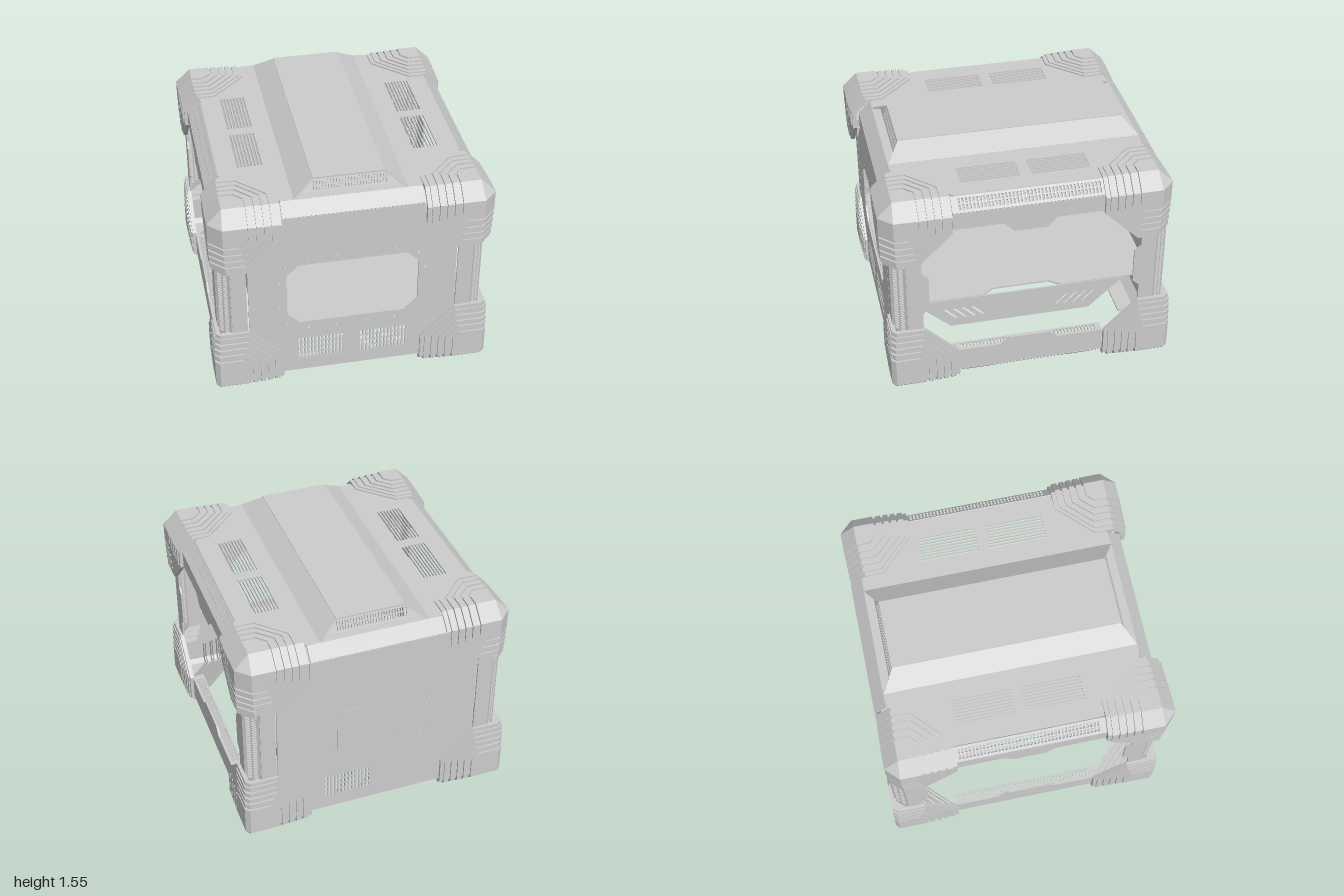
import * as THREE from 'three';

const material = new THREE.MeshStandardMaterial({ color: 0xcccccc, flatShading: true, side: THREE.DoubleSide });
const V = (x, y, z) => new THREE.Vector3(x, y, z);
const path = (pts) => pts.map(([x, y]) => new THREE.Vector2(x, y));

// Flat sheet: outline in (u, v), laid at origin along the two axes
function plate(name, outline, holes, origin, u, v, thick = 0.012) {
  const shape = new THREE.Shape(path(outline));
  shape.holes = holes.map((h) => new THREE.Path(path(h)));
  const geo = new THREE.ExtrudeGeometry(shape, { depth: thick, bevelEnabled: false });
  geo.translate(0, 0, -thick / 2);
  const a = u.clone().normalize(), b = v.clone().normalize();
  geo.applyMatrix4(new THREE.Matrix4().makeBasis(a, b, a.clone().cross(b)).setPosition(origin));
  const mesh = new THREE.Mesh(geo, material);
  mesh.name = name;
  return mesh;
}

const rect = (x0, y0, x1, y1) => [[x0, y0], [x1, y0], [x1, y1], [x0, y1]];

// Rectangle with clipped corners
const octagon = (x0, y0, x1, y1, c) => [[x0 + c, y0], [x1 - c, y0], [x1, y0 + c], [x1, y1 - c],
  [x1 - c, y1], [x0 + c, y1], [x0, y1 - c], [x0, y0 + c]];

// Right half of an outline, listed bottom to top, completed by its mirror image
const mirrored = (half) => [...half, ...half.map(([x, y]) => [-x, y]).reverse()];

function slotGrid(x0, y0, x1, y1, cols, rows, fill = 0.6) {
  const out = [], w = (x1 - x0) / cols, h = (y1 - y0) / rows;
  for (let i = 0; i < cols; i++) for (let j = 0; j < rows; j++) {
    const cx = x0 + (i + 0.5) * w, cy = y0 + (j + 0.5) * h;
    const a = w * fill / 2, b = h / 2 - Math.min(w, h) * 0.15;
    out.push(octagon(cx - a, cy - b, cx + a, cy + b, Math.min(a, b) * 0.4));
  }
  return out;
}

const screwHole = ([x, y]) => Array.from({ length: 8 }, (_, i) =>
  [x + 0.01 * Math.cos(i * Math.PI / 4), y + 0.01 * Math.sin(i * Math.PI / 4)]);

// One band of a corner guard, wrapping three faces and their chamfers between
// extents s0 and s (s0 = 0 fills the middle). Coordinates run inward from the case corner.
function guardBand([s0, t0], [s, t], d, cv, ch, top, toWorld) {
  const pos = [], rim = 0.03, ref = V(0.2, 0.2, 0.2);
  const face = (pts, inward = false) => {
    for (let i = 1; i < pts.length - 1; i++) {
      const tri = [pts[0], pts[i], pts[i + 1]];
      const n = tri[1].clone().sub(tri[0]).cross(tri[2].clone().sub(tri[0]));
      const out = n.dot(tri[0].clone().add(tri[1]).add(tri[2]).divideScalar(3).sub(ref)) > 0;
      if (out === inward) tri.reverse();
      const w = tri.map(toWorld.map);
      if (toWorld.flip) w.reverse();
      w.forEach((p) => pos.push(p.x, p.y, p.z));
    }
  };
  const v = d + cv, h = d + ch;
  const lay = [
    (q, e) => V(q[0], q[1], d + e),
    (q, e) => V(d + e, q[0], q[1]),
    (q, e) => V(q[1], d + e, q[0]),
  ];
  const starts = [[v, h], [h, v], [h, h]];
  // The underside of a lower guard is cut back to a triangle
  const edge = (r, c, e) => starts.map(([a, b], k) => {
    const cut = k === 2 && !top ? r - 0.075 : c;
    return [[r, b], [r, r - cut], [r - cut, r], [a, r]].map((q) => lay[k](q, e));
  });
  const wall = (high, low, inward) => high.forEach((p, k) => {
    const m = (k + 1) % 3;
    for (let i = 0; i < 3; i++) face([p[i], p[i + 1], low[k][i + 1], low[k][i]], inward);
    face([p[3], high[m][0], low[m][0], low[k][3]], inward);
  });
  const outer = edge(s, t, 0);
  wall(outer, edge(s, t, rim), false);
  if (s0) {
    const inner = edge(s0, t0, 0);
    wall(inner, edge(s0, t0, rim), true);
    outer.forEach((p, k) => {
      const m = (k + 1) % 3;
      for (let i = 0; i < 3; i++) face([inner[k][i], p[i], p[i + 1], inner[k][i + 1]]);
      face([inner[k][3], p[3], outer[m][0], inner[m][0]]);
    });
  } else {
    const tip = starts.map((q, k) => lay[k](q, 0));
    face(tip);
    outer.forEach((p, k) => {
      const m = (k + 1) % 3;
      face([tip[k], ...p]);
      face([tip[k], p[3], outer[m][0], tip[m]]);
    });
  }
  const geo = new THREE.BufferGeometry();
  geo.setAttribute('position', new THREE.Float32BufferAttribute(pos, 3));
  geo.computeVertexNormals();
  return new THREE.Mesh(geo, material);
}

function cornerGuard(sx, top, sz) {
  const g = new THREE.Group();
  g.name = (top ? 'upper' : 'lower') + 'CornerGuard';
  const dz = top ? 0.03 : 0;
  const toWorld = {
    map: (p) => V(sx * (0.955 - p.x), top ? 1.49 - p.y : p.y + 0.005, sz * (0.985 - p.z) + dz),
    flip: sx * sz * (top ? -1 : 1) < 0,
  };
  // Extent, corner cut and depth of alternating ridges and grooves
  const bands = [[0.24, 0.05, 0], [0.255, 0.06, 0.012], [0.295, 0.09, 0.002], [0.31, 0.1, 0.014],
    [0.345, 0.125, 0.003], [0.36, 0.135, 0.015], [0.395, 0.165, 0.005], [0.41, 0.18, 0.017],
    [0.445, 0.21, 0.007], [0.475, 0.235, 0.016]];
  bands.forEach((b, i) => g.add(guardBand(i ? bands[i - 1] : [0, 0], b, b[2],
    top ? 0.09 : 0.03, top ? 0.1 : 0.03, top, toWorld)));
  return g;
}

export function createModel() {
  const model = new THREE.Group();
  const body = new THREE.Group();
  body.name = 'case';
  body.position.z = -0.015;
  model.add(body);
  const add = (...args) => body.add(plate(...args));
  const X = V(1, 0, 0), Y = V(0, 1, 0), Z = V(0, 0, 1), ZF = 0.945, XS = 0.91;

  for (const sx of [1, -1]) for (const sz of [1, -1]) for (const top of [true, false]) body.add(cornerGuard(sx, top, sz));

  // Front and back panels
  const panel = mirrored([[0.48, 0.07], [0.48, 0.24], [0.71, 0.48], [0.71, 1.02], [0.48, 1.25], [0.48, 1.38]]);
  const ring = [];
  for (const s of [1, -1]) ring.push(...[[0.1, 1.04], [0.3, 1.04], [0.45, 0.98], [0.5, 0.85], [0.5, 0.65],
    [0.45, 0.5], [0.3, 0.44], [0.11, 0.44]].map(([x, y]) => [s * x, y]));
  const mounts = [[-0.33, 0.91], [-0.14, 0.91], [-0.38, 0.86], [-0.37, 0.63], [-0.32, 0.57], [-0.14, 0.57],
    [0.32, 0.57], [0.37, 0.63]];
  add('frontPanel', panel, [octagon(-0.45, 0.5, 0.45, 0.99, 0.08), ...ring.map(screwHole),
    ...slotGrid(-0.38, 0.17, -0.06, 0.355, 13, 4), ...slotGrid(0.05, 0.17, 0.38, 0.355, 13, 4)], V(0, 0, ZF), X, Y);
  add('backPanel', panel, [...mounts.map(screwHole), ...slotGrid(0.05, 0.17, 0.38, 0.355, 13, 4)], V(0, 0, -ZF), X, Y);
  add('backCoverPlate', octagon(0.07, 0.55, 0.29, 0.92, 0.04), [], V(0, 0, -ZF - 0.004), X, Y);

  for (const sz of [1, -1]) {
    // Sloped edges above and below the panels, and the flat plank underneath
    add('upperBevel', rect(-0.47, 0, 0.47, 0.115), [], V(0, 1.38, sz * ZF), X, V(0, 0.08, -sz * 0.08));
    add('lowerBevel', [[-0.48, 0], [-0.41, -0.09], [0.41, -0.09], [0.48, 0]], [],
      V(0, 0.07, sz * ZF), X, V(0, 0.06, sz * 0.07));
    add('bottomPlank', rect(-0.48, 0.76, 0.48, 0.88), [], V(0, 0.017, 0), X, V(0, 0, sz));
    // Louvred end of the hood and the ledge in front of it
    add('hoodVent', [[-0.37, 0], [0.37, 0], [0.24, 0.097], [-0.24, 0.097]],
      slotGrid(-0.25, 0.015, 0.25, 0.085, 26, 2), V(0, 1.46, sz * 0.805), X, V(0, 0.09, -sz * 0.035));
    add('hoodLedge', rect(-0.375, 0.79, 0.375, 0.87), [], V(0, 1.458, 0), X, V(0, 0, sz));

    // Corner posts
    for (const sx of [1, -1]) {
      add('postFrontStrip', rect(0.72, 0.4, 0.825, 1.1), [], V(0, 0, sz * ZF), V(sx, 0, 0), Y);
      add('postVent', rect(0, 0.4, 0.125, 1.1), slotGrid(0.015, 0.46, 0.11, 1.04, 2, 28, 0.75),
        V(sx * 0.825, 0, sz * ZF), V(sx * 0.085, 0, -sz * 0.09), Y);
      add('postSideStrip', [[0.855, 0.4], [0.855, 1.1], [0.75, 1.1], [0.75, 0.93], [0.705, 0.89],
        [0.705, 0.64], [0.75, 0.6], [0.75, 0.4]], [], V(sx * XS, 0, 0), V(0, 0, sz), Y);
    }
  }

  // Side rails
  for (const sx of [1, -1]) {
    const at = (x, y) => V(sx * x, y, 0.015);
    add('upperSideRail', mirrored([[0.11, 1.19], [0.18, 1.26], [0.52, 1.26], [0.52, 1.38]]), [], at(XS, 0), Z, Y);
    add('upperSideVent', rect(-0.52, 0, 0.52, 0.115), slotGrid(-0.48, 0.015, 0.48, 0.1, 40, 2),
      at(XS, 1.38), Z, V(-sx * 0.085, 0.08, 0));
    add('lowerSideRail', mirrored([[0.52, 0.07], [0.52, 0.24], [0.2, 0.24], [0.14, 0.29]]), [], at(XS, 0), Z, Y);
    add('lowerSideVent', rect(-0.52, 0, 0.52, 0.08), slotGrid(-0.48, 0.01, 0.48, 0.07, 40, 1),
      at(XS, 0.232), Z, V(-sx, 0, 0));
    add('lowerSideBevel', mirrored([[0.16, -0.04], [0.2, -0.04], [0.3, -0.085], [0.4, -0.085], [0.5, -0.03], [0.5, 0]]),
      [], at(XS, 0.07), Z, V(sx * 0.06, 0.06, 0));

    // Shelf flange with slanted slots
    const slots = [];
    for (const s of [1, -1]) for (let i = 0; i < 4; i++) {
      const z = 0.53 - i * 0.065;
      slots.push([[z, 0.37], [z + 0.025, 0.37], [z - 0.06, 0.285], [z - 0.085, 0.285]].map(([a, b]) => [s * a, b]));
    }
    add('shelfFlange', mirrored([[0.5, 0.22], [0.75, 0.45]]), slots, at(0.62, 0), Z, Y);

    // Top cover wings with long vents
    for (const sz of [1, -1]) add('topCoverWing', [[0.375, 0], [0.825, 0], [0.825, 0.51], [0.47, 0.86], [0.375, 0.87]],
      slotGrid(0.51, 0.035, 0.69, 0.44, 8, 1), V(0, 1.458, 0), V(sx, 0, 0), V(0, 0, sz));
    // Sloping hood side
    add('hoodSide', [[0, -0.775], [0.168, -0.865], [0.168, 0.865], [0, 0.775]], [],
      V(sx * 0.235, 1.552, 0), V(sx * 0.14, -0.092, 0), Z);
  }
  add('hoodTop', rect(-0.24, -0.78, 0.24, 0.78), [], V(0, 1.554, 0), X, Z);

  // Inner shelf, narrowed in the middle
  const shelfSide = [[0.62, -0.93], [0.62, -0.28], [0.56, -0.2], [0.56, 0.2], [0.62, 0.28], [0.62, 0.93]];
  add('shelf', mirrored(shelfSide), [], V(0, 0.45, 0), X, Z);

  return model;
}
